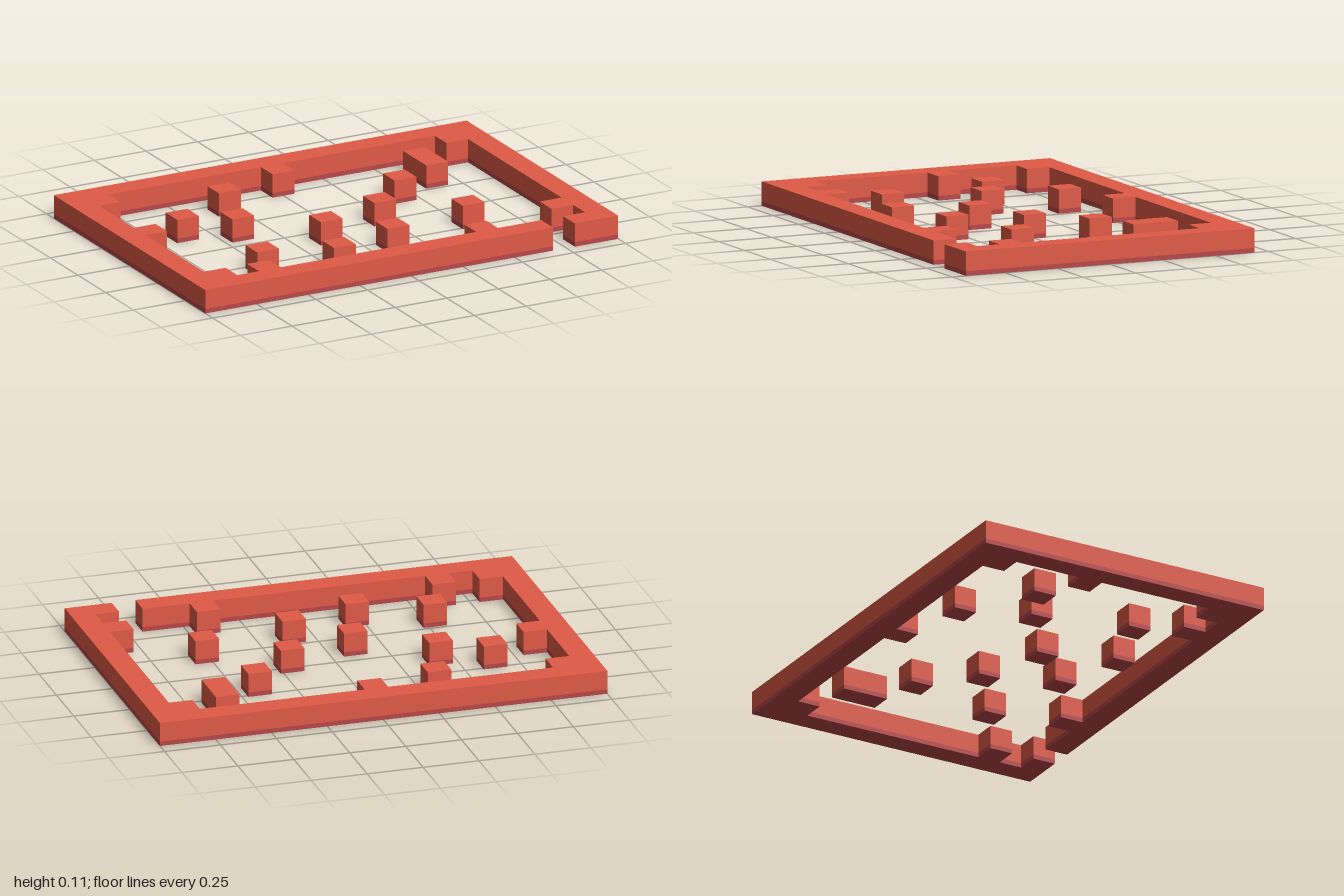
import * as THREE from 'three';

// The plan lies on a grid of 19 x 13 square cells.
const COLS = 19, ROWS = 13, CELL = 2 / COLS;
const BASE = 0.02; // height of the darker stripe along the bottom

const bodyMaterial = new THREE.MeshStandardMaterial({ color: 0xe05a47 });
const baseMaterial = new THREE.MeshStandardMaterial({ color: 0xb9484a });

// Extrudes a plan outline of [column, row] corners into a stripe and a body.
function block(name, corners) {
  const shape = new THREE.Shape(corners.map(([c, r]) =>
    new THREE.Vector2((c - COLS / 2) * CELL, (ROWS / 2 - r) * CELL)));
  const part = new THREE.Group();
  part.name = name;
  const layer = (layerName, y, depth, material) => {
    const geometry = new THREE.ExtrudeGeometry(shape, { depth, bevelEnabled: false });
    geometry.rotateX(-Math.PI / 2).translate(0, y, 0);
    const mesh = new THREE.Mesh(geometry, material);
    mesh.name = layerName;
    part.add(mesh);
  };
  layer(name + 'Base', 0, BASE, baseMaterial);
  layer(name + 'Body', BASE, CELL - BASE, bodyMaterial);
  return part;
}

export function createModel() {
  const model = new THREE.Group();
  model.name = 'arena';

  // Outer wall: one outline, open at the front gap, with inward stubs.
  model.add(block('outerWall', [
    [16, 13], [0, 13], [0, 0], [19, 0], [19, 13], [17, 13],          // outside
    [17, 12], [18, 12], [18, 11], [17, 11], [17, 10], [18, 10],      // right side
    [18, 2], [17, 2], [17, 1], [10, 1], [10, 2], [9, 2], [9, 1],     // back side
    [2, 1], [2, 2], [1, 2], [1, 5], [2, 5], [2, 6], [1, 6],          // left side
    [1, 11], [2, 11], [2, 12], [3, 12], [3, 11], [4, 11], [4, 12],   // front side
    [13, 12], [13, 11], [14, 11], [14, 12], [16, 12],
  ]));

  // Free-standing obstacles: column, row, length in rows.
  const obstacles = [
    [6, 2, 1], [15, 2, 2], [3, 4, 1], [13, 4, 1], [5, 5, 1], [11, 6, 1],
    [8, 7, 1], [14, 8, 1], [4, 9, 1], [10, 9, 1], [7, 10, 1],
  ];
  obstacles.forEach(([c, r, n], i) => model.add(block('obstacle' + (i + 1),
    [[c, r + n], [c + 1, r + n], [c + 1, r], [c, r]])));

  return model;
}
